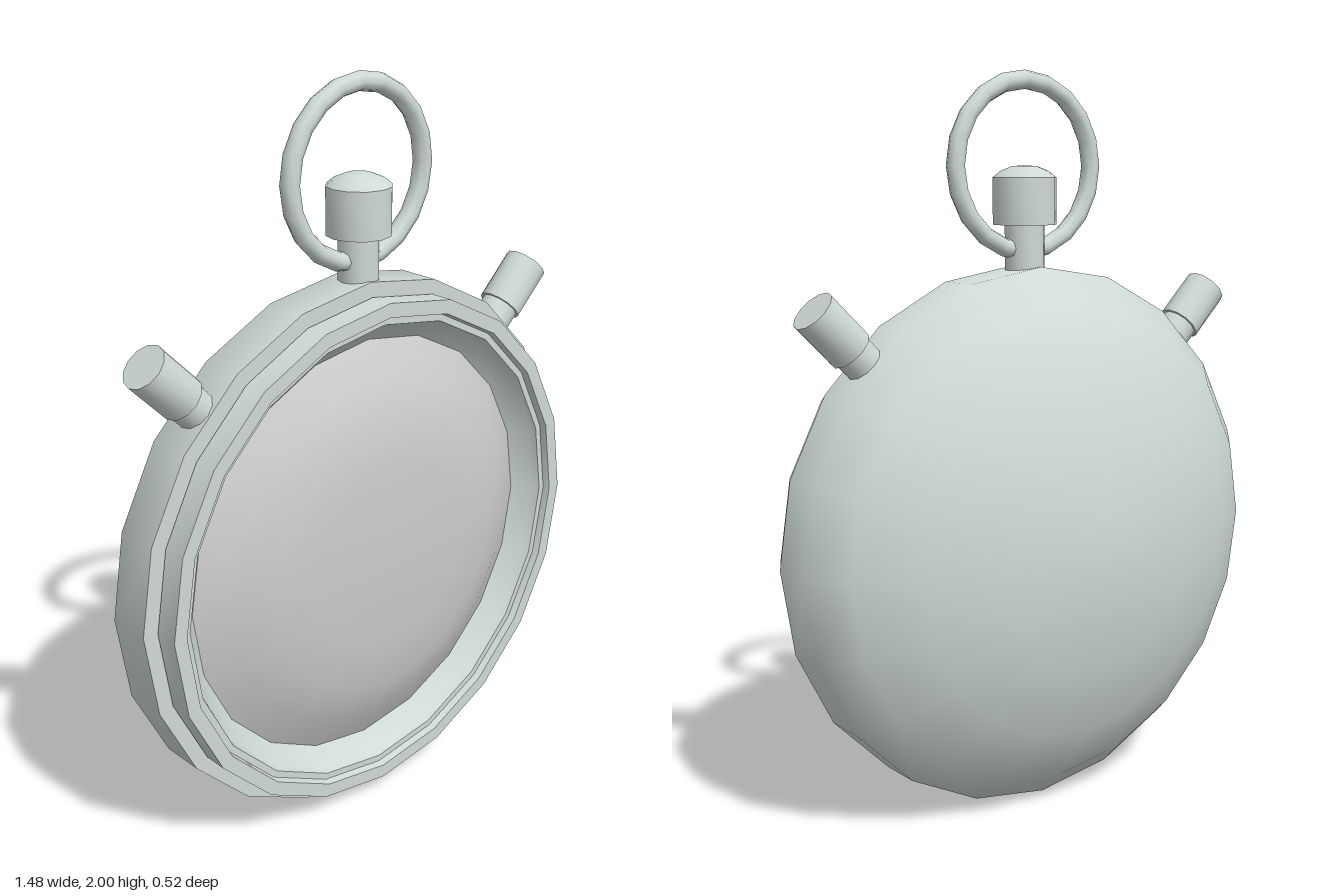
import * as THREE from 'three';
import { toCreasedNormals } from 'three/addons/utils/BufferGeometryUtils.js';

const CENTER_Y = 0.742; // middle of the case
const AXIS_Z = 0.095;   // depth of crown, ring and buttons

const metal = new THREE.MeshStandardMaterial({ color: 0xcfdad7 });
const crystal = new THREE.MeshStandardMaterial({ color: 0xcccaca });

// Turned part from [radius, height] pairs, listed from bottom to top on the outside
function turned(name, profile, sides, { material = metal, crease = 0.65 } = {}) {
  const points = profile.map(([r, h]) => new THREE.Vector2(r, h));
  const geometry = toCreasedNormals(new THREE.LatheGeometry(points, sides), crease);
  const mesh = new THREE.Mesh(geometry, material);
  mesh.name = name;
  return mesh;
}

export function createModel() {
  const model = new THREE.Group();
  model.name = 'stopwatch';

  // Case, bezel and glass share one axis pointing to the front
  const body = new THREE.Group();
  body.name = 'body';
  body.position.y = CENTER_Y;
  body.rotation.x = Math.PI / 2;
  body.add(
    // Domed back flowing softly into the side wall, open under the glass
    turned('case', [
      [0, -0.258], [0.11, -0.255], [0.31, -0.222], [0.51, -0.155],
      [0.66, -0.058], [0.742, 0.033], [0.742, 0.155], [0.6, 0.155],
    ], 20, { crease: 1 }),
    // Stepped ring sloping down to the glass
    turned('bezel', [
      [0.69, 0.15], [0.703, 0.16], [0.703, 0.227], [0.665, 0.227], [0.66, 0.208],
      [0.642, 0.208], [0.634, 0.185], [0.588, 0.145],
    ], 20),
    turned('glass', [
      [0.59, 0.144], [0.5, 0.194], [0.39, 0.238],
      [0.26, 0.249], [0.13, 0.256], [0, 0.258],
    ], 20, { material: crystal }),
  );
  model.add(body);

  // Winding crown on its neck
  const crown = new THREE.Group();
  crown.name = 'crown';
  crown.position.set(0.011, 0, AXIS_Z);
  crown.add(
    turned('crownNeck', [[0, 1.42], [0.054, 1.42], [0.054, 1.61], [0, 1.61]], 12),
    turned('crownCap', [
      [0, 1.595], [0.086, 1.595], [0.086, 1.72], [0.065, 1.737], [0.035, 1.749], [0, 1.752],
    ], 12),
  );
  model.add(crown);

  // Carrying ring
  const ring = new THREE.Mesh(new THREE.TorusGeometry(0.225, 0.025, 8, 20), metal);
  ring.name = 'carryingRing';
  ring.position.set(0.009, 1.75, AXIS_Z);
  ring.rotation.z = Math.PI / 2;
  model.add(ring);

  // Mirrored push buttons, tilted 45 degrees outwards
  for (const side of [1, -1]) {
    const button = new THREE.Group();
    button.name = side > 0 ? 'leftButton' : 'rightButton';
    button.position.set(side * 0.558, 1.295, AXIS_Z);
    button.rotation.z = -side * Math.PI / 4;
    button.add(
      turned('buttonStem', [[0, -0.14], [0.053, -0.14], [0.053, 0.01], [0, 0.01]], 12),
      turned('buttonCap', [[0, 0], [0.061, 0], [0.061, 0.146], [0, 0.146]], 12),
    );
    model.add(button);
  }

  return model;
}
